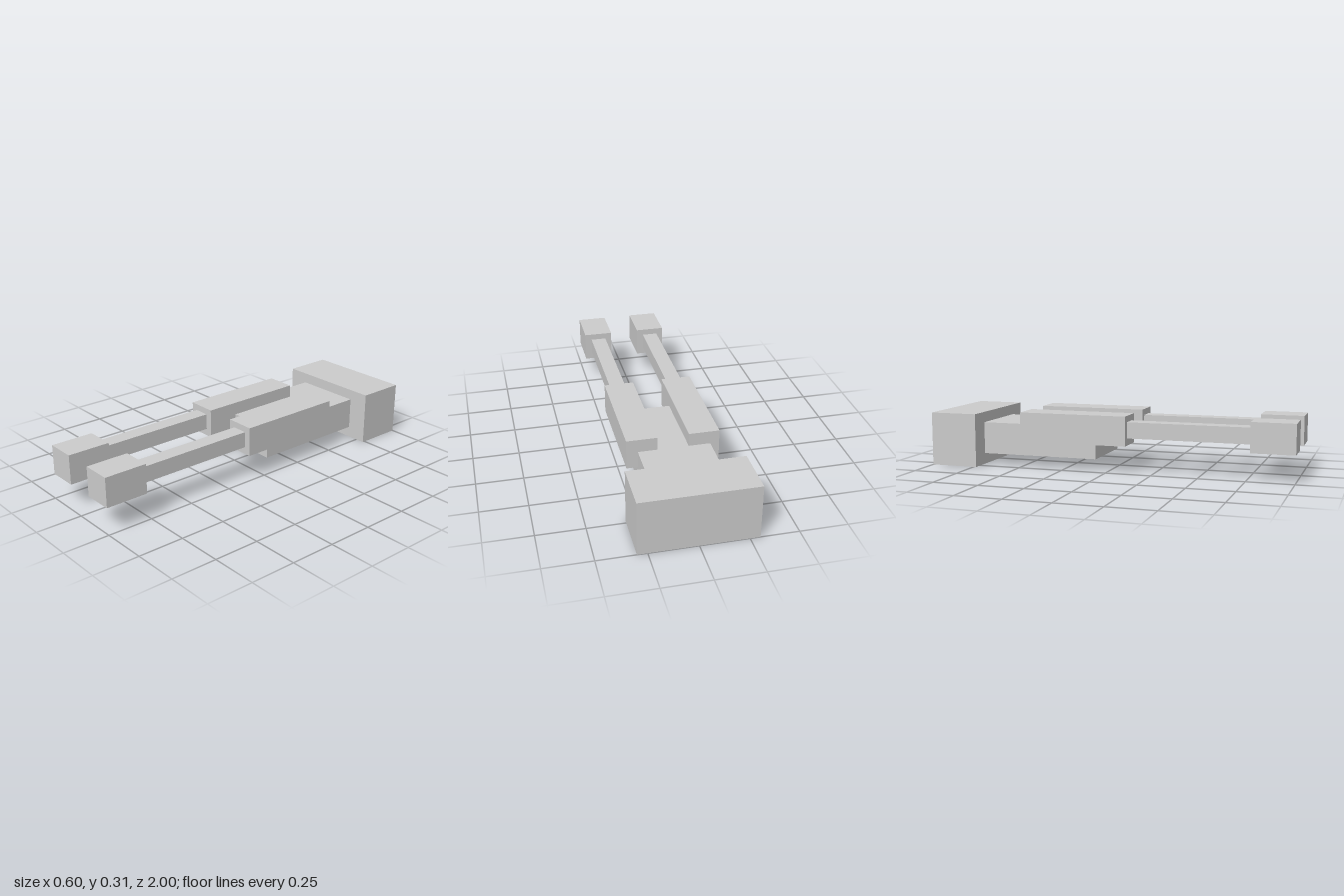
import * as THREE from 'three';

export function createModel() {
  const group = new THREE.Group();
  const material = new THREE.MeshStandardMaterial({ color: 0xcccccc, flatShading: true });

  // Box given by its extent along each axis
  function addBox(name, [x0, x1], [y0, y1], [z0, z1], parent = group) {
    const mesh = new THREE.Mesh(new THREE.BoxGeometry(x1 - x0, y1 - y0, z1 - z0), material);
    mesh.position.set((x0 + x1) / 2, (y0 + y1) / 2, (z0 + z1) / 2);
    mesh.name = name;
    parent.add(mesh);
  }

  // Wide rear block and the body in front of it
  addBox('rearBlock', [-0.302, 0.302], [0, 0.293], [-1, -0.735]);
  addBox('body', [-0.189, 0.188], [0.06, 0.235], [-0.735, -0.075]);

  // Two arms: thick sleeve, thin rod and square end block
  for (const [side, x] of [['right', -0.156], ['left', 0.167]]) {
    const arm = new THREE.Group();
    arm.name = side + 'Arm';
    arm.position.x = x;
    addBox('sleeve', [-0.08, 0.08], [0.145, 0.305], [-0.495, 0.105], arm);
    addBox('rod', [-0.043, 0.043], [0.184, 0.271], [0.105, 0.768], arm);
    addBox('endBlock', [-0.08, 0.08], [0.145, 0.305], [0.768, 1], arm);
    group.add(arm);
  }

  return group;
}
